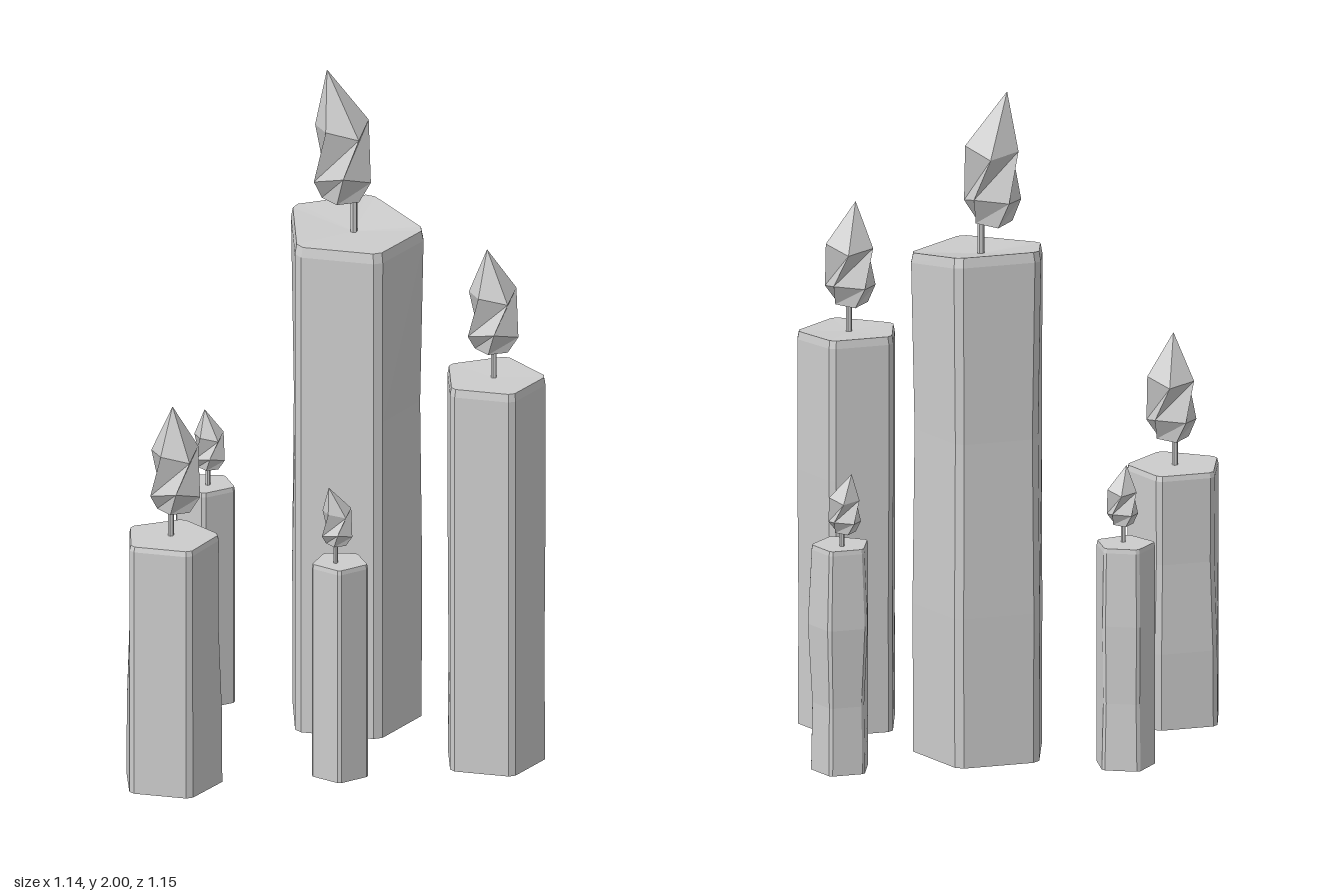
import * as THREE from 'three';

const grey = new THREE.MeshStandardMaterial({ color: 0xcccccc, flatShading: true });
grey.name = 'light grey';

// at: centre x, z; r, turn: pentagon radius and rotation; y: bottom, top
// rear: scale of the rear corners from bottom to top; lift: raised rear rim
// wick: x, z; flame: x, base, top, radius; tip: x, z
const CANDLES = [
  { name: 'tallCandle', at: [-0.048, -0.141], r: 0.213, turn: 0, y: [0.025, 1.51],
    rear: [0.97, 0.98, 0.95, 1], lift: 0.04,
    wick: [-0.045, -0.14], flame: [-0.08, 1.6, 2, 0.088], tip: [-0.124, -0.137] },
  { name: 'rightCandle', at: [0.424, 0.062], r: 0.159, turn: 0, y: [0.01, 1.18],
    rear: [0.98, 0.97, 0.99, 0.99], lift: 0.01,
    wick: [0.425, 0.06], flame: [0.422, 1.26, 1.57, 0.078], tip: [0.405, 0.06] },
  { name: 'frontLeftCandle', at: [-0.429, 0.455], r: 0.154, turn: 0, y: [0, 0.755],
    rear: [1, 0.99, 0.92, 0.93], lift: 0,
    wick: [-0.43, 0.455], flame: [-0.418, 0.83, 1.15, 0.077], tip: [-0.425, 0.455] },
  { name: 'backLeftCandle', at: [-0.489, -0.158], r: 0.092, turn: -0.81, y: [0.03, 0.69],
    rear: [1, 0.93, 0.97, 0.92], lift: 0,
    wick: [-0.48, -0.145], flame: [-0.477, 0.74, 0.92, 0.048], tip: [-0.49, -0.145] },
  { name: 'frontSmallCandle', at: [0.039, 0.327], r: 0.087, turn: -0.87, y: [0.025, 0.675],
    rear: [1, 0.95, 0.98, 0.95], lift: 0,
    wick: [0.03, 0.343], flame: [0.034, 0.73, 0.91, 0.047], tip: [0.015, 0.362] },
  { name: 'backRightCandle', at: [0.267, -0.473], r: 0.098, turn: 0, y: [0.03, 0.7],
    rear: [0.9, 0.86, 1, 0.88], lift: 0,
    wick: [0.258, -0.485], flame: [0.25, 0.74, 0.92, 0.05], tip: [0.225, -0.495] },
];

// Closed skin over loops of points, each end fanned from a pole
function loft(loops, bottom, top) {
  const pos = [];
  const tri = (a, b, c) => pos.push(...a, ...b, ...c);
  const n = loops[0].length;
  const last = loops[loops.length - 1];
  for (let i = 0; i < n; i++) {
    const j = (i + 1) % n;
    tri(bottom, loops[0][i], loops[0][j]);
    tri(top, last[j], last[i]);
    for (let k = 0; k + 1 < loops.length; k++) {
      const lo = loops[k], hi = loops[k + 1];
      tri(lo[j], lo[i], hi[i]);
      tri(lo[j], hi[i], hi[j]);
    }
  }
  const g = new THREE.BufferGeometry();
  g.setAttribute('position', new THREE.Float32BufferAttribute(pos, 3));
  g.computeVertexNormals();
  return g;
}

// Pentagonal wax body with clipped corners and an uneven back
function waxGeometry({ at: [cx, cz], r, turn, y: [y0, y1], rear, lift }) {
  const ring = (t, scale, inset, rim) => {
    const pts = Array.from({ length: 5 }, (_, i) => {
      const a = turn + (i * Math.PI * 2) / 5;
      const dx = Math.sin(a), dz = -Math.cos(a);
      const isRear = dz < 0;
      const s = r * inset * (isRear ? scale : 1);
      const raise = isRear ? rim * (1 - Math.max(0, dx)) : 0;
      return [cx + dx * s, y0 + (y1 - y0) * t + raise, cz + dz * s];
    });
    const mix = (a, b) => a.map((v, k) => v + (b[k] - v) * 0.07);
    return pts.flatMap((p, i) => [mix(p, pts[(i + 4) % 5]), mix(p, pts[(i + 1) % 5])]);
  };
  const heights = [0, 0.3, 0.65, 0.98];
  const loops = heights.map((t, k) => ring(t, rear[k], 1, k === 3 ? lift : 0));
  loops.push(ring(1, rear[3], 0.97, lift));
  return loft(loops, [cx, y0, cz], [cx, y1, cz]);
}

// Faceted flame: staggered five-sided rings drawn up to a leaning tip
function flameGeometry({ wick: [, z], flame: [x, y0, y1, r], tip }) {
  const h = y1 - y0;
  const loops = [[0.02, 0.66, 0], [0.2, 0.98, 0.3], [0.56, 0.92, 0.9]].map(([t, s, turn]) =>
    Array.from({ length: 5 }, (_, i) => {
      const a = turn - (i * Math.PI * 2) / 5;
      const wave = 0.04 * h * Math.sin(i * 2.4 + turn * 5) * (t > 0.1 ? 1 : 0.3);
      return [x + r * s * Math.sin(a), y0 + h * t + wave, z + r * s * Math.cos(a)];
    }));
  return loft(loops, [x, y0, z], [tip[0], y1, tip[1]]);
}

// Wick runs from inside the wax into the flame
function wickGeometry({ wick: [x, z], r, y, flame }) {
  const from = y[1] - 0.02, to = flame[1] + 0.02;
  const radius = 0.004 + r * 0.03;
  return new THREE.CylinderGeometry(radius, radius, to - from, 6).translate(x, (from + to) / 2, z);
}

export function createModel() {
  const model = new THREE.Group();
  model.name = 'candles';
  for (const c of CANDLES) {
    const candle = new THREE.Group();
    candle.name = c.name;
    const add = (name, geometry) => {
      const mesh = new THREE.Mesh(geometry, grey);
      mesh.name = name;
      candle.add(mesh);
    };
    add('wax', waxGeometry(c));
    add('wick', wickGeometry(c));
    add('flame', flameGeometry(c));
    model.add(candle);
  }
  return model;
}
